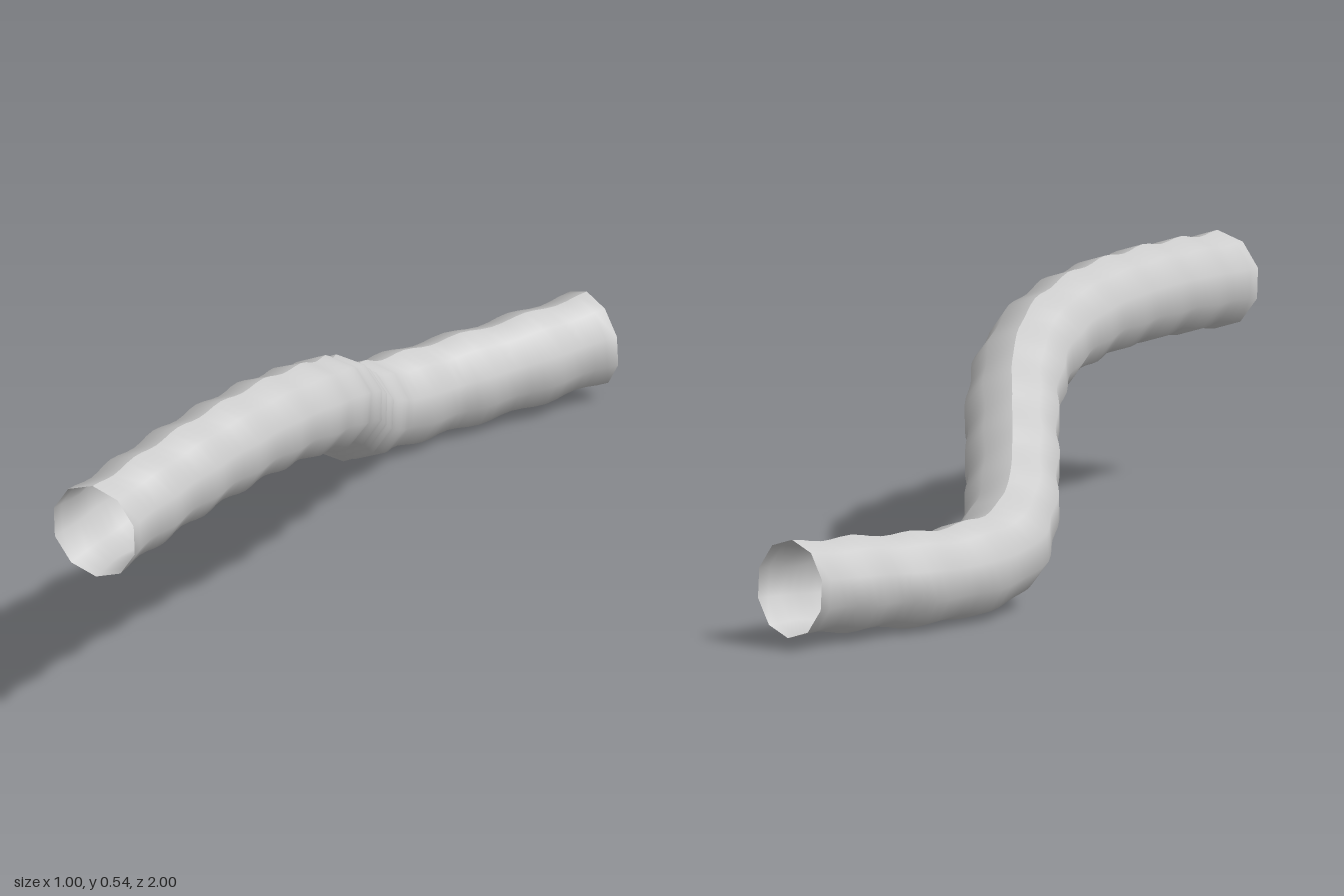
import * as THREE from 'three';

// Open, softly corrugated ten-sided hose swept along a bent centre line.
export function createModel() {
  const group = new THREE.Group();
  group.name = 'corrugatedHose';

  // Centre line from the low back end to the raised front end
  const path = new THREE.CatmullRomCurve3([
    [-0.38, 0.125, -1], [-0.388, 0.114, -0.8], [-0.404, 0.105, -0.6], [-0.375, 0.118, -0.42],
    [-0.3, 0.158, -0.3], [-0.2, 0.217, -0.195], [-0.1, 0.28, -0.1], [0, 0.34, 0],
    [0.11, 0.4, 0.15], [0.2, 0.437, 0.35], [0.3, 0.441, 0.64], [0.405, 0.418, 0.963],
  ].map((p) => new THREE.Vector3(...p)), false, 'centripetal');

  const sides = 10, ripples = 14, rings = ripples * 6;
  const positions = [], uvs = [], index = [];
  const up = new THREE.Vector3(0, 1, 0);

  // Rings kept upright, each with a corner on top; radius swells at every ripple
  for (let i = 0; i <= rings; i++) {
    const t = i / rings;
    const centre = path.getPointAt(t);
    const tangent = path.getTangentAt(t);
    const side = new THREE.Vector3().crossVectors(up, tangent).normalize();
    const top = new THREE.Vector3().crossVectors(tangent, side);
    const radius = 0.098 + 0.0042 * Math.cos(t * ripples * Math.PI * 2);
    for (let j = 0; j <= sides; j++) {
      const a = (j / sides) * Math.PI * 2;
      const p = centre.clone()
        .addScaledVector(top, radius * Math.cos(a))
        .addScaledVector(side, radius * Math.sin(a));
      positions.push(p.x, p.y, p.z);
      uvs.push(j / sides, t);
      if (i < rings && j < sides) {
        const q = i * (sides + 1) + j, r = q + sides + 1;
        index.push(q, r, q + 1, q + 1, r, r + 1);
      }
    }
  }

  const geometry = new THREE.BufferGeometry();
  geometry.setAttribute('position', new THREE.Float32BufferAttribute(positions, 3));
  geometry.setAttribute('uv', new THREE.Float32BufferAttribute(uvs, 2));
  // Angles run from top towards side, so outward faces need the reversed order
  for (let k = 0; k < index.length; k += 3) [index[k + 1], index[k + 2]] = [index[k + 2], index[k + 1]];
  geometry.setIndex(index);
  geometry.computeVertexNormals();

  const hose = new THREE.Mesh(geometry,
    new THREE.MeshStandardMaterial({ color: 0xcccccc, side: THREE.DoubleSide }));
  hose.name = 'hose';
  group.add(hose);
  return group;
}
